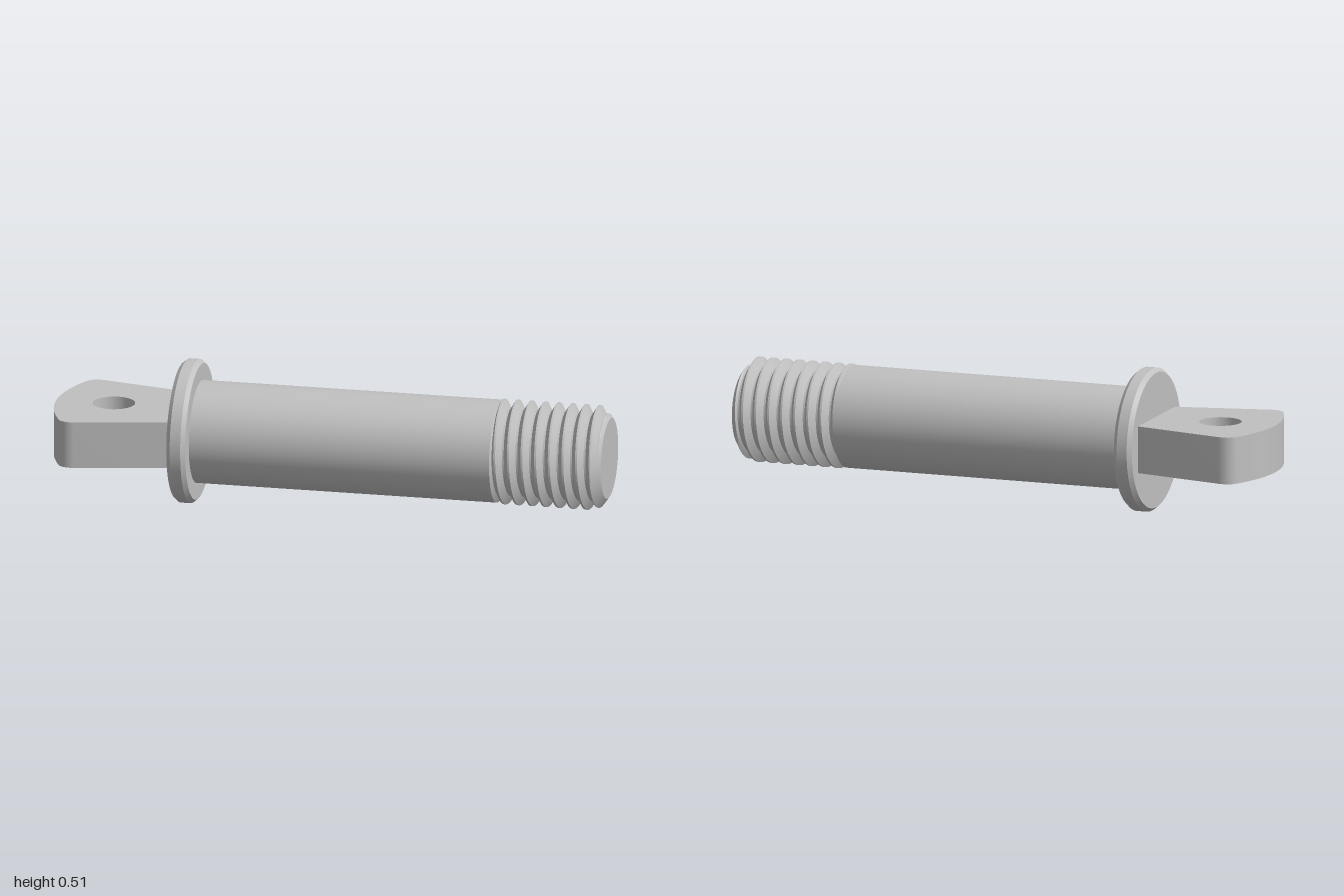
import * as THREE from 'three';
import { toCreasedNormals } from 'three/addons/utils/BufferGeometryUtils.js';

const TAU = Math.PI * 2;

// Smooth curved faces but keep edges sharp (scaled up so small details stay apart)
function crease(geometry, angle = 0.45) {
  geometry.scale(100, 100, 100);
  return toCreasedNormals(geometry, angle).scale(0.01, 0.01, 0.01);
}

// Turned part around the x axis, from [x, radius] points
function turned(points) {
  const g = new THREE.LatheGeometry(points.map(([x, r]) => new THREE.Vector2(r, x)), 80);
  g.rotateZ(-Math.PI / 2);
  return crease(g);
}

// Helical thread with a chamfered tip, rows following the helix
function threadGeometry(start, end, crestAt, pitch, crestR, rootR, tipR) {
  const crestEnd = 0.14, rootStart = 0.5, rootEnd = 0.64;
  const radius = (x) => {
    let p = (x - crestAt) / pitch;
    p -= Math.floor(p);
    let r = rootR;
    if (p < crestEnd) r = crestR;
    else if (p < rootStart) r = crestR + (rootR - crestR) * (p - crestEnd) / (rootStart - crestEnd);
    else if (p > rootEnd) r = rootR + (crestR - rootR) * (p - rootEnd) / (1 - rootEnd);
    return Math.min(r, tipR + (end - x) * 1.4);
  };
  const steps = [];
  const stops = [0, crestEnd, rootStart, rootEnd, 1];
  for (let i = 0; i < 4; i++)
    for (let k = 0; k < 3; k++) steps.push(stops[i] + (stops[i + 1] - stops[i]) * k / 3);

  const sides = 80, positions = [], index = [], xs = [];
  const first = Math.floor((start - crestAt) / pitch) - 2;
  const last = Math.ceil((end - crestAt) / pitch) + 1;
  for (let turn = first; turn <= last; turn++) {
    for (const s of steps) {
      for (let j = 0; j <= sides; j++) {
        const a = (j / sides) * TAU;
        const x = THREE.MathUtils.clamp(crestAt + (turn + s + j / sides) * pitch, start, end);
        // the phase of each row is constant around its helix
        const r = radius(x - (j / sides) * pitch);
        const tip = tipR + (end - x) * 1.4;
        const rr = Math.min(r, tip);
        positions.push(x, Math.cos(a) * rr, Math.sin(a) * rr);
        xs.push(x);
      }
    }
  }
  const rows = xs.length / (sides + 1);
  for (let i = 0; i < rows - 1; i++) {
    for (let j = 0; j < sides; j++) {
      const a = i * (sides + 1) + j, b = a + 1, c = a + sides + 1, d = c + 1;
      if (xs[a] !== xs[c]) index.push(a, b, c);
      if (xs[b] !== xs[d]) index.push(b, d, c);
    }
  }
  const g = new THREE.BufferGeometry();
  g.setAttribute('position', new THREE.Float32BufferAttribute(positions, 3));
  g.setIndex(index);
  return crease(g);
}

// Flared tab with rounded corners, a bowed end and a pin hole
function tabGeometry() {
  const thickness = 0.168;
  const s = new THREE.Shape();
  s.moveTo(0, 0.175);
  s.lineTo(-0.365, 0.255);
  s.quadraticCurveTo(-0.4, 0.262, -0.422, 0.238);
  s.quadraticCurveTo(-0.542, 0, -0.422, -0.238);
  s.quadraticCurveTo(-0.4, -0.262, -0.365, -0.255);
  s.lineTo(0, -0.175);
  s.closePath();
  const hole = new THREE.Path();
  hole.absarc(-0.276, 0, 0.075, 0, TAU, true);
  s.holes.push(hole);
  const g = new THREE.ExtrudeGeometry(s, { depth: thickness, bevelEnabled: false, curveSegments: 24 });
  g.translate(0, 0, -thickness / 2);
  g.rotateX(Math.PI / 2);
  return crease(g);
}

export function createModel() {
  const steel = new THREE.MeshStandardMaterial({ color: 0xc0c0c0 });
  steel.name = 'steel';

  const model = new THREE.Group();
  model.name = 'threadedPin';
  const add = (name, geometry) => {
    const mesh = new THREE.Mesh(geometry, steel);
    mesh.name = name;
    model.add(mesh);
    return mesh;
  };

  add('tab', tabGeometry());

  // Collar with chamfered rims
  add('collar', turned([
    [-0.034, 0], [-0.034, 0.242], [-0.019, 0.255],
    [0.019, 0.255], [0.034, 0.242], [0.034, 0.17],
  ]));

  // Plain shank, chamfered where the thread begins
  add('shank', turned([[0.02, 0.182], [1.118, 0.182], [1.134, 0.155], [1.134, 0.1]]));

  // Thread and its flat end
  const end = 1.513;
  add('thread', threadGeometry(1.115, end, 1.221, 0.0492, 0.186, 0.157, 0.143));
  const cap = add('endFace', new THREE.CircleGeometry(0.143, 80).rotateY(Math.PI / 2));
  cap.position.x = end;

  // The pin lies at a slight angle
  model.rotation.y = THREE.MathUtils.degToRad(5);
  model.position.set(-0.52, 0.256, 0.01);

  const root = new THREE.Group();
  root.name = 'pin';
  root.add(model);
  return root;
}
